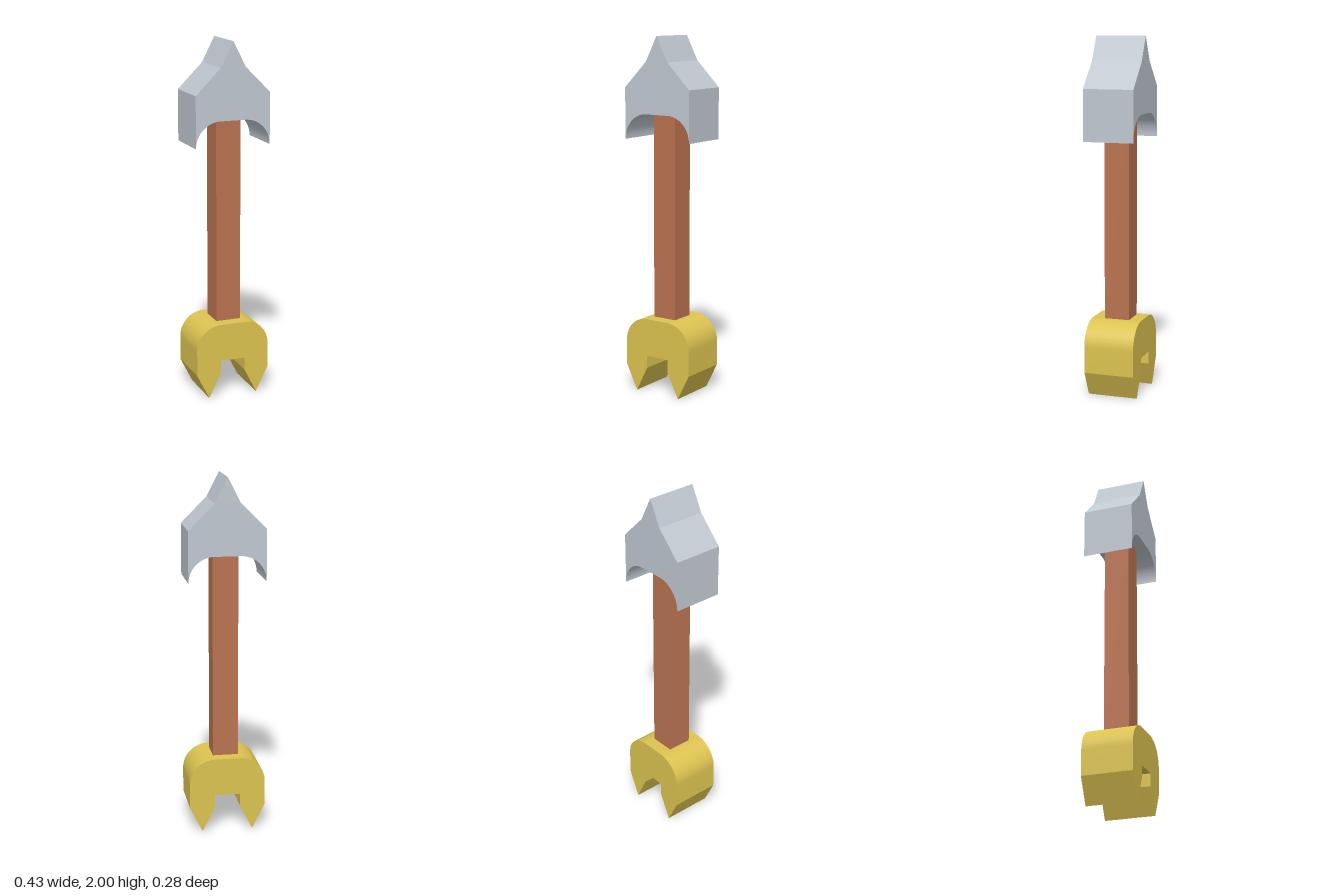
import * as THREE from 'three';
import { toCreasedNormals } from 'three/addons/utils/BufferGeometryUtils.js';

const U = 0.1424; // half of the shaft is U / 2; every part is laid out on this unit

function part(name, geometry, color) {
  const mesh = new THREE.Mesh(geometry, new THREE.MeshStandardMaterial({ color }));
  mesh.name = name;
  return mesh;
}

// Extrudes an outline to a depth of 2U, centred on z, smoothing only the arcs
function slab(shape) {
  const g = new THREE.ExtrudeGeometry(shape, { depth: 2 * U, bevelEnabled: false, curveSegments: 16 });
  g.translate(0, 0, -U);
  return toCreasedNormals(g, 0.2);
}

export function createModel() {
  const group = new THREE.Group();
  const a = U / 2, b = 1.5 * U;

  // Pointed head with two concave quarter-round notches underneath
  const base = 2 - 4 * U + 0.004;
  const head = new THREE.Shape();
  head.moveTo(0, 2);
  head.lineTo(-a, base + 3 * U);
  head.lineTo(-b, base + 2 * U);
  head.lineTo(-b, base);
  head.absarc(-a, base, U, Math.PI, Math.PI / 2, true);
  head.lineTo(a, base + U);
  head.absarc(a, base, U, Math.PI / 2, 0, true);
  head.lineTo(b, base + 2 * U);
  head.lineTo(a, base + 3 * U);
  head.closePath();
  group.add(part('spearHead', slab(head), 0xc0c8d0));

  // Square shaft between head and claw
  const bottom = 3 * U, top = base + U;
  const shaft = part('shaft', new THREE.BoxGeometry(U, top - bottom, U), 0xba7350);
  shaft.position.y = (top + bottom) / 2;
  group.add(shaft);

  // Two-pronged claw with rounded shoulders
  const claw = new THREE.Shape();
  claw.moveTo(a, 1.5 * U);
  claw.lineTo(a, U);
  claw.lineTo(U, 0);
  claw.lineTo(b, U);
  claw.lineTo(b, 2 * U);
  claw.absarc(a, 2 * U, U, 0, Math.PI / 2, false);
  claw.lineTo(-a, 3 * U);
  claw.absarc(-a, 2 * U, U, Math.PI / 2, Math.PI, false);
  claw.lineTo(-b, U);
  claw.lineTo(-U, 0);
  claw.lineTo(-a, U);
  claw.lineTo(-a, 1.5 * U);
  claw.closePath();
  group.add(part('claw', slab(claw), 0xdcc350));

  return group;
}
